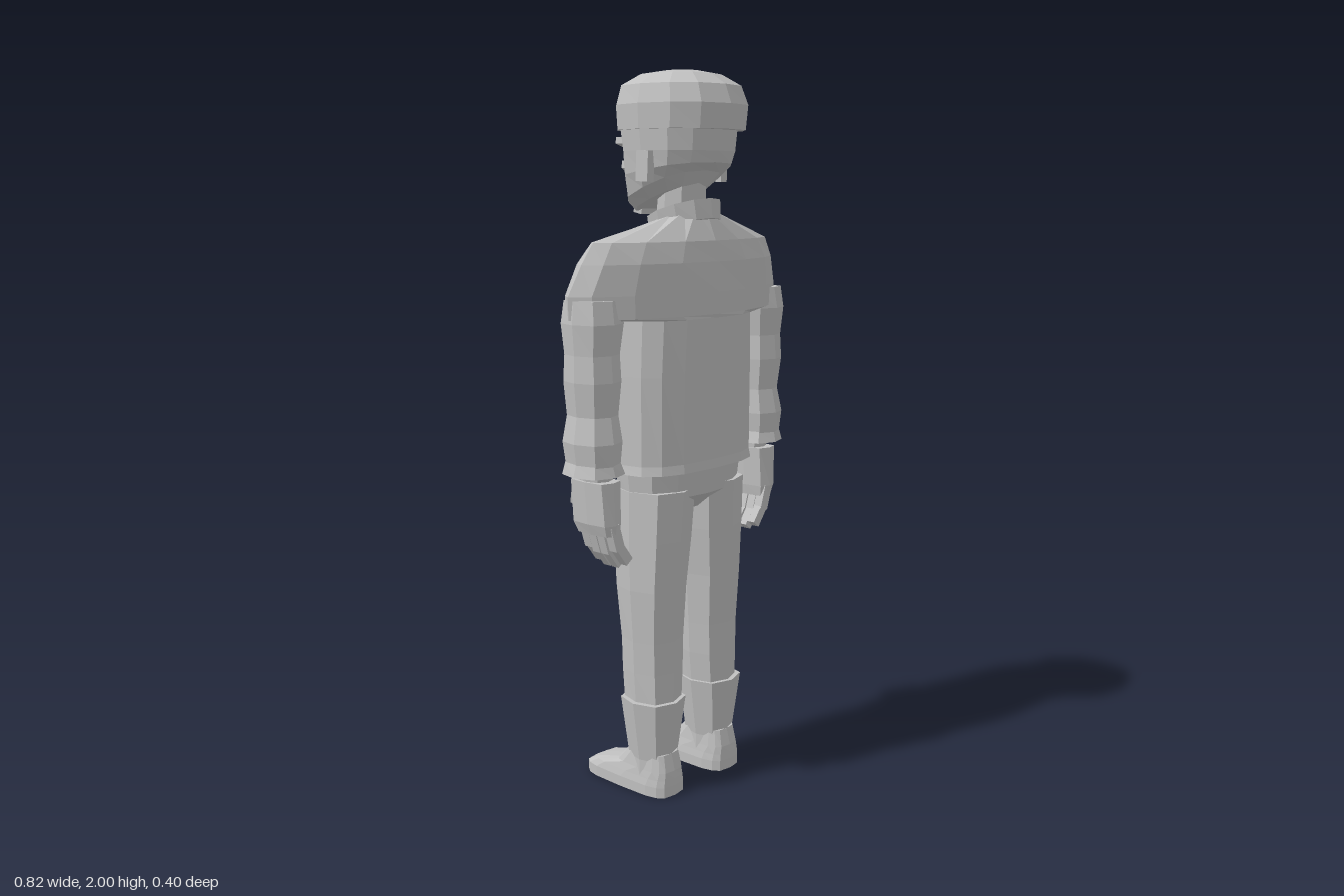
import * as THREE from 'three';

const grey = new THREE.MeshStandardMaterial({ color: 0xc0c0c0 });
grey.name = 'plain grey';

// Closed body from squarish rings, listed bottom to top: [y, centreX, halfWidth, zMin, zMax, squareness, tilt]
function loft(name, n, rings) {
  const pos = [], idx = [], pw = (v, e) => Math.sign(v) * Math.pow(Math.abs(v) < 1e-6 ? 0 : Math.abs(v), e);
  for (const [y, cx, hx, z0, z1, e = 0.8, tilt = 0] of rings) {
    const cz = (z0 + z1) / 2, hz = (z1 - z0) / 2;
    for (let i = 0; i < n; i++) {
      const t = (i / n) * Math.PI * 2, dz = hz * pw(Math.sin(t), e);
      pos.push(cx + hx * pw(Math.cos(t), e), y + tilt * dz, cz + dz);
    }
  }
  const last = rings.length - 1;
  for (let j = 0; j < last; j++) for (let i = 0; i < n; i++) {
    const a = j * n + i, b = j * n + (i + 1) % n;
    idx.push(a, a + n, b + n, a, b + n, b);
  }
  const ends = [0, last].map((j) => {
    const [y, cx, , z0, z1] = rings[j];
    pos.push(cx, y, (z0 + z1) / 2);
    return pos.length / 3 - 1;
  });
  for (let i = 0; i < n; i++) {
    const k = (i + 1) % n;
    idx.push(ends[0], i, k, ends[1], last * n + k, last * n + i);
  }
  const g = new THREE.BufferGeometry();
  g.setAttribute('position', new THREE.Float32BufferAttribute(pos, 3));
  g.setIndex(idx);
  const flat = g.toNonIndexed();
  flat.computeVertexNormals();
  const m = new THREE.Mesh(flat, grey);
  m.name = name;
  return m;
}

function box(name, size, at, rot = [0, 0, 0]) {
  const m = new THREE.Mesh(new THREE.BoxGeometry(...size), grey);
  m.name = name;
  m.position.set(...at);
  m.rotation.set(...rot);
  return m;
}

export function createModel() {
  const model = new THREE.Group();
  model.name = 'standing man';

  // The figure looks towards -z
  model.add(loft('sweater', 16, [
    [0.935, 0, 0.24, -0.12, 0.155, 0.7],
    [0.96, 0, 0.235, -0.127, 0.152, 0.7],
    [1.2, 0, 0.235, -0.14, 0.155, 0.7],
    [1.35, 0, 0.23, -0.145, 0.16, 0.72],
    [1.36, 0, 0.41, -0.147, 0.163, 1.2],
    [1.42, 0, 0.412, -0.148, 0.163, 1.2],
    [1.5, 0, 0.375, -0.12, 0.16, 1.1],
    [1.555, 0, 0.345, -0.085, 0.15, 1.2],
    [1.615, 0, 0.085, -0.05, 0.115, 1, 0.3],
  ]));
  model.add(loft('collar', 12, [
    [1.585, 0, 0.1, -0.058, 0.138, 1, 0.3],
    [1.635, 0, 0.108, -0.062, 0.132, 1, 0.33],
    [1.635, 0, 0.08, -0.045, 0.11, 1, 0.33],
    [1.61, 0, 0.075, -0.04, 0.105, 1, 0.33],
  ]));
  model.add(loft('neck', 8, [
    [1.58, 0, 0.068, -0.035, 0.085, 0.9],
    [1.74, 0, 0.068, -0.03, 0.09, 0.9],
  ]));

  // Head with a jaw rising towards the nape
  model.add(loft('head', 12, [
    [1.665, 0, 0.085, -0.108, 0.085, 0.8, 0.38],
    [1.695, 0, 0.125, -0.117, 0.115, 0.8, 0.38],
    [1.74, 0, 0.145, -0.118, 0.148, 0.8, 0.15],
    [1.79, 0, 0.152, -0.12, 0.158, 0.8],
    [1.86, 0, 0.158, -0.13, 0.165, 0.8],
  ]));
  model.add(loft('cap', 12, [
    [1.845, 0, 0.168, -0.142, 0.193, 0.85],
    [1.91, 0, 0.172, -0.146, 0.2, 0.85],
    [1.96, 0, 0.158, -0.132, 0.18, 0.85],
    [1.99, 0, 0.11, -0.08, 0.13, 0.9],
    [2, 0, 0.05, -0.025, 0.08, 1],
  ]));

  // Face
  model.add(loft('nose', 6, [
    [1.715, 0, 0.018, -0.135, -0.1],
    [1.73, 0, 0.028, -0.155, -0.1],
    [1.76, 0, 0.018, -0.146, -0.1],
    [1.81, 0, 0.011, -0.128, -0.1],
  ]));
  model.add(box('upperLip', [0.085, 0.014, 0.02], [0, 1.695, -0.117]));
  model.add(box('lowerLip', [0.065, 0.012, 0.02], [0, 1.672, -0.114]));
  model.add(box('chin', [0.075, 0.035, 0.03], [0, 1.642, -0.1], [0.2, 0, 0]));

  for (const s of [1, -1]) {
    const side = new THREE.Group();
    side.name = s > 0 ? 'leftSide' : 'rightSide';
    model.add(side);

    side.add(box('brow', [0.085, 0.018, 0.03], [s * 0.058, 1.812, -0.119], [0, s * -0.3, s * 0.2]));
    side.add(box('eye', [0.05, 0.015, 0.015], [s * 0.056, 1.783, -0.112], [0, s * -0.3, s * 0.12]));
    side.add(box('cheek', [0.055, 0.02, 0.02], [s * 0.07, 1.748, -0.104], [0, s * -0.4, s * 0.3]));
    side.add(box('ear', [0.025, 0.08, 0.042], [s * 0.15, 1.75, 0.032], [0.05, 0, 0]));

    // Sleeve with soft folds and a flared cuff
    side.add(loft('sleeve', 8, [
      [0.97, s * 0.34, 0.06, -0.052, 0.092],
      [1.04, s * 0.341, 0.068, -0.06, 0.098],
      [1.11, s * 0.338, 0.058, -0.05, 0.085],
      [1.2, s * 0.34, 0.066, -0.055, 0.095],
      [1.27, s * 0.34, 0.064, -0.05, 0.09],
      [1.35, s * 0.338, 0.072, -0.06, 0.1],
      [1.41, s * 0.335, 0.07, -0.05, 0.09],
    ]));
    side.add(loft('cuff', 8, [
      [0.952, s * 0.338, 0.074, -0.062, 0.1],
      [0.985, s * 0.34, 0.062, -0.055, 0.092],
    ]));

    // Hand: wrist, palm, four curled fingers and a thumb
    side.add(loft('wrist', 8, [
      [0.9, s * 0.325, 0.035, -0.03, 0.06],
      [0.97, s * 0.33, 0.04, -0.035, 0.065],
    ]));
    side.add(loft('palm', 8, [
      [0.79, s * 0.325, 0.028, -0.04, 0.085, 0.5],
      [0.82, s * 0.328, 0.036, -0.05, 0.09, 0.5],
      [0.935, s * 0.33, 0.042, -0.05, 0.085, 0.5],
    ]));
    for (let f = 0; f < 4; f++) {
      const z = 0.072 - f * 0.031, drop = [0.012, 0, 0, 0.01][f];
      side.add(box('fingerBase', [0.032, 0.07, 0.027], [s * 0.316, 0.772 + drop, z], [0, 0, s * -0.3]));
      side.add(box('fingerTip', [0.028, 0.06, 0.025], [s * 0.289, 0.722 + drop, z], [0, 0, s * -0.65]));
    }
    side.add(box('thumbBase', [0.036, 0.085, 0.04], [s * 0.308, 0.888, -0.06], [0.4, 0, s * -0.25]));
    side.add(box('thumbTip', [0.03, 0.06, 0.03], [s * 0.288, 0.835, -0.083], [0.15, 0, s * -0.3]));

    // Trouser leg, boot shaft and shoe
    side.add(loft('trouserLeg', 8, [
      [0.25, s * 0.119, 0.071, -0.05, 0.105],
      [0.36, s * 0.117, 0.077, -0.057, 0.105],
      [0.45, s * 0.117, 0.08, -0.058, 0.105],
      [0.6, s * 0.117, 0.087, -0.075, 0.115],
      [0.74, s * 0.11, 0.095, -0.088, 0.125],
      [0.88, s * 0.105, 0.1, -0.092, 0.132],
    ]));
    side.add(loft('bootShaft', 8, [
      [0.05, s * 0.122, 0.058, -0.04, 0.1],
      [0.1, s * 0.122, 0.058, -0.04, 0.098],
      [0.275, s * 0.122, 0.084, -0.057, 0.118],
      [0.275, s * 0.119, 0.074, -0.05, 0.105],
    ]));
    side.add(loft('shoe', 16, [
      [0, s * 0.122, 0.064, -0.2, 0.115, 0.5],
      [0.03, s * 0.122, 0.064, -0.2, 0.115, 0.5],
      [0.05, s * 0.122, 0.06, -0.165, 0.114, 0.5],
      [0.072, s * 0.122, 0.056, -0.08, 0.112, 0.55],
      [0.12, s * 0.122, 0.05, -0.035, 0.1, 0.6],
    ]));
  }

  model.add(loft('hips', 12, [
    [0.81, 0, 0.13, -0.03, 0.07],
    [0.86, 0, 0.2, -0.09, 0.128],
    [0.95, 0, 0.21, -0.105, 0.14],
  ]));
  return model;
}
